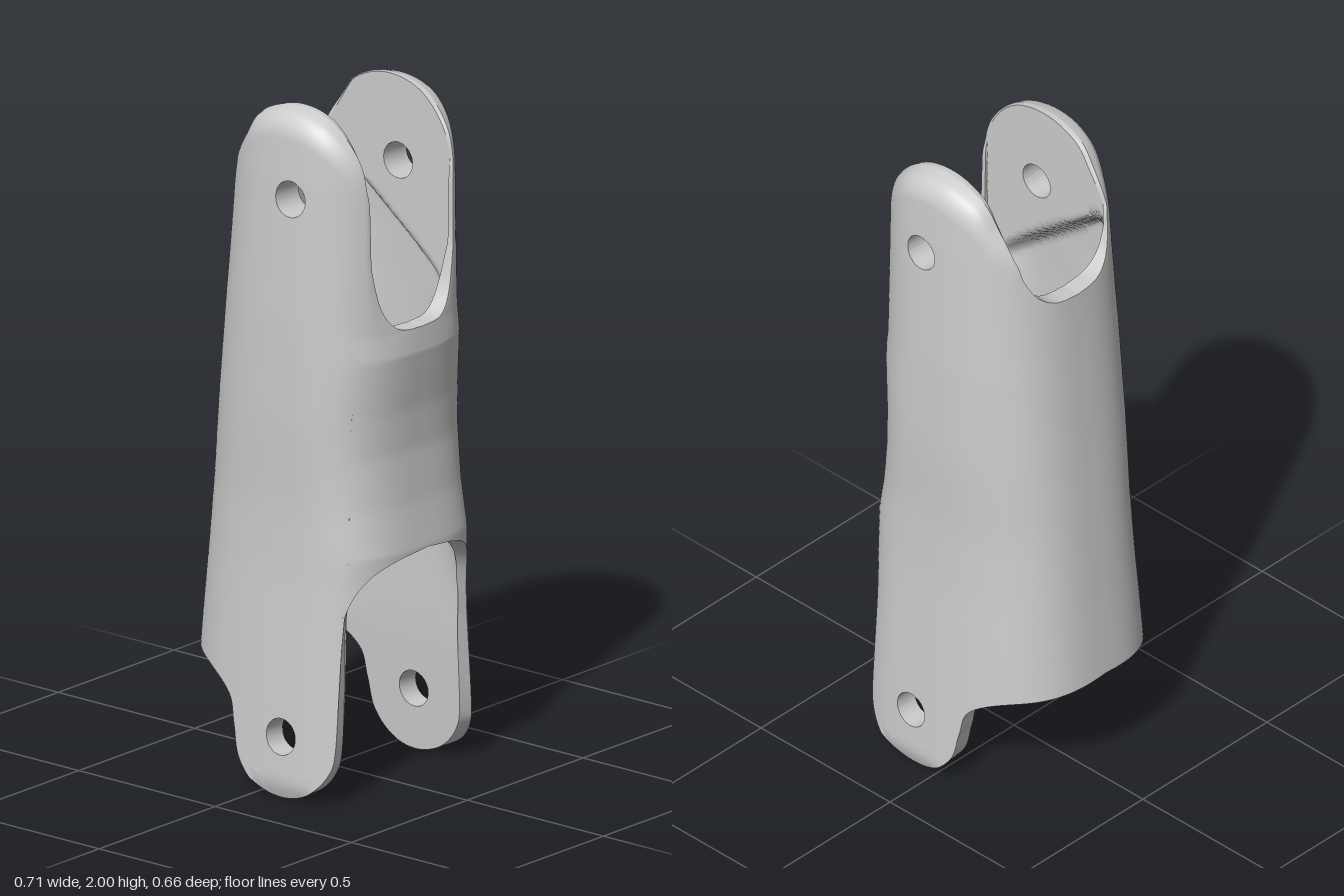
import * as THREE from 'three';

// Hollow sleeve with a pair of pierced lugs at each end.
const CX = 0.09;                    // line through the pin holes
const HOLES = [0.18, 1.75], HOLE_R = 0.053;
const { clamp, lerp, smoothstep, degToRad } = THREE.MathUtils;

// linear lookup in [y, value] pairs
const table = (pairs) => (y) => {
  let k = 1;
  while (k < pairs.length - 1 && y > pairs[k][0]) k++;
  const [y0, a] = pairs[k - 1], [y1, b] = pairs[k];
  return lerp(a, b, clamp((y - y0) / (y1 - y0), 0, 1));
};

// section sizes by height
const xLeft = table([[0, -0.38], [0.37, -0.357], [1, -0.305], [1.6, -0.252], [2, -0.22]]);
const xRight = table([[0, 0.375], [0.18, 0.368], [0.45, 0.352], [0.62, 0.352], [0.72, 0.355], [0.85, 0.335],
  [1, 0.322], [1.12, 0.325], [1.29, 0.343], [1.36, 0.337], [2, 0.34]]);
const depth = table([[0, 0.315], [0.04, 0.33], [0.4, 0.311], [0.65, 0.297], [0.85, 0.292], [1.1, 0.298],
  [1.4, 0.295], [1.8, 0.281], [2, 0.27]]);
const cavityDepth = table([[0, 0.262], [0.35, 0.242], [0.65, 0.24], [1.4, 0.24], [2, 0.225]]);
const rightPower = table([[0, 3], [0.7, 3], [1.4, 2.4], [2, 2.4]]);
const leftPower = table([[0, 2.8], [0.5, 2.8], [1.5, 2.6], [2, 2.6]]);
const roundBore = table([[0.5, 0], [0.8, 1], [1.3, 1], [1.55, 0]]);

// edges as [angle from +x in degrees, height], paired bottom to top
const edge = (pts) => new THREE.CatmullRomCurve3(
  pts.map(([a, y]) => new THREE.Vector3(a, y, 0)), false, 'catmullrom', 0.5);
const bottomEdge = edge([[0, 0.715], [23, 0.7], [39, 0.66], [50, 0.57], [53.5, 0.44], [54.9, 0.18], [59.1, 0.09],
  [72, 0.024], [90, 0], [101, 0.024], [108.8, 0.09], [111.8, 0.18], [115.3, 0.265], [128.3, 0.325],
  [149, 0.352], [180, 0.367]]);
const topEdge = edge([[0, 1.36], [19.6, 1.37], [31, 1.43], [36.5, 1.55], [38, 1.68], [39.5, 1.77], [47, 1.87],
  [69.5, 1.97], [97, 2], [118.5, 1.965], [129.5, 1.89], [141, 1.8], [145, 1.735], [152, 1.675],
  [163, 1.64], [180, 1.63]]);

// rows are closer together at the pin holes, the pad ledge and the rounded top
const rows = [0];
for (const [from, to, n] of [[0, 0.05, 4], [0.05, 0.13, 12], [0.13, 0.7, 20], [0.7, 0.84, 14], [0.84, 0.91, 12],
  [0.91, 0.96, 4], [0.96, 1, 10]])
  for (let k = 1; k <= n; k++) rows.push(lerp(from, to, k / n));

const HALF = 150, COLS = HALF * 2, ROWS = rows.length;
const id = (i, j) => ((i + COLS) % COLS) * ROWS + j;

// outer and inner wall point for one column and row
function wallPoints(i, j) {
  const side = i > HALF ? -1 : 1, t = (i > HALF ? COLS - i : i) / HALF;
  const top = topEdge.getPoint(t);
  const p = bottomEdge.getPoint(t).lerp(top, rows[j]);
  const ang = degToRad(clamp(p.x, 0, 180)), y = clamp(p.y, 0, 2);
  const c = Math.cos(ang), s = Math.sin(ang), right = c >= 0;
  const n = right ? rightPower(y) : leftPower(y);
  const a = right ? xRight(y) - CX : CX - xLeft(y), d = depth(y);
  const r = Math.pow(Math.abs(c) ** n + Math.abs(s) ** n, -1 / n);
  const x = a * r * c, z = d * r * s;

  // upper lugs carry a thick flat pad inside, ending on a slanted ledge
  const pad = smoothstep(y + 0.75 * (CX + x) - 1.62, -0.025, 0.025);
  const bore = roundBore(y);
  const xi = Math.sign(c) * lerp(Math.min(Math.abs(x) * 0.95, a - 0.057), Math.abs(x) * (1 - 0.057 / a), bore);
  const zCavity = lerp(Math.min(z * 0.95, cavityDepth(y)), z * (1 - 0.055 / d), bore);
  const zi = lerp(zCavity, Math.min(zCavity, 0.184), pad);

  // outer face rolls over towards the top edge
  const e = clamp((top.y - p.y) / 0.08, 0, 1);
  const zo = lerp(zi, z, 0.2 + 0.8 * Math.sqrt(1 - (1 - e) ** 2));
  return [new THREE.Vector3(CX + x, y, side * zo), new THREE.Vector3(CX + xi, y, side * zi)];
}

function makeGeometry(points, quads) {
  const g = new THREE.BufferGeometry().setFromPoints(points);
  g.setIndex(quads.flatMap(([a, b, c, d]) => [a, b, c, a, c, d]));
  g.computeVertexNormals();
  return g;
}

export function createModel() {
  const outer = [], inner = [];
  for (let i = 0; i < COLS; i++) for (let j = 0; j < ROWS; j++) {
    const [o, n] = wallPoints(i, j);
    outer.push(o);
    inner.push(n);
  }

  // cells inside a pin hole are left open
  const corners = (i, j) => [id(i, j), id(i, j + 1), id(i + 1, j + 1), id(i + 1, j)];
  const open = new Set();
  for (let i = 0; i < COLS; i++) for (let j = 0; j < ROWS - 1; j++) {
    const m = new THREE.Vector3();
    corners(i, j).forEach((k) => m.addScaledVector(outer[k], 0.25));
    if (Math.abs(m.z) > 0.2 && HOLES.some((h) => Math.hypot(m.x - CX, m.y - h) < HOLE_R)) open.add(id(i, j));
  }
  const outerQuads = [], innerQuads = [], holeQuads = [], onRim = new Set();
  for (let i = 0; i < COLS; i++) for (let j = 0; j < ROWS - 1; j++) {
    const [a, b, c, d] = corners(i, j);
    if (!open.has(a)) {
      outerQuads.push([a, b, c, d]);
      innerQuads.push([d, c, b, a]);
      continue;
    }
    const sides = [[a, b, id(i - 1, j)], [b, c, id(i, j + 1)], [c, d, id(i + 1, j)], [d, a, id(i, j - 1)]];
    for (const [p, q, neighbour] of sides) if (!open.has(neighbour)) {
      holeQuads.push([p, q, q + outer.length, p + outer.length]);
      onRim.add(p).add(q);
    }
  }

  // pull the edge of each opening onto a circle
  for (const k of onRim) {
    const h = outer[k].y < 1 ? HOLES[0] : HOLES[1];
    const a = Math.atan2(outer[k].y - h, outer[k].x - CX);
    for (const p of [outer[k], inner[k]]) {
      p.x = CX + HOLE_R * Math.cos(a);
      p.y = h + HOLE_R * Math.sin(a);
    }
  }

  // end rims join the two walls
  const rim = (j, top) => {
    const pts = [], quads = [];
    for (let i = 0; i < COLS; i++) {
      pts.push(outer[id(i, j)], inner[id(i, j)]);
      const a = i * 2, b = ((i + 1) % COLS) * 2;
      quads.push(top ? [a, a + 1, b + 1, b] : [a, b, b + 1, a + 1]);
    }
    return makeGeometry(pts, quads);
  };

  const material = new THREE.MeshStandardMaterial({ color: 0xcccccc, side: THREE.DoubleSide });
  const group = new THREE.Group();
  const add = (name, geometry) => {
    const mesh = new THREE.Mesh(geometry, material);
    mesh.name = name;
    group.add(mesh);
  };
  add('outerWall', makeGeometry(outer, outerQuads));
  add('innerWall', makeGeometry(inner, innerQuads));
  add('bottomRim', rim(0, false));
  add('topRim', rim(ROWS - 1, true));
  add('pinHoles', makeGeometry([...outer, ...inner], holeQuads));
  return group;
}
